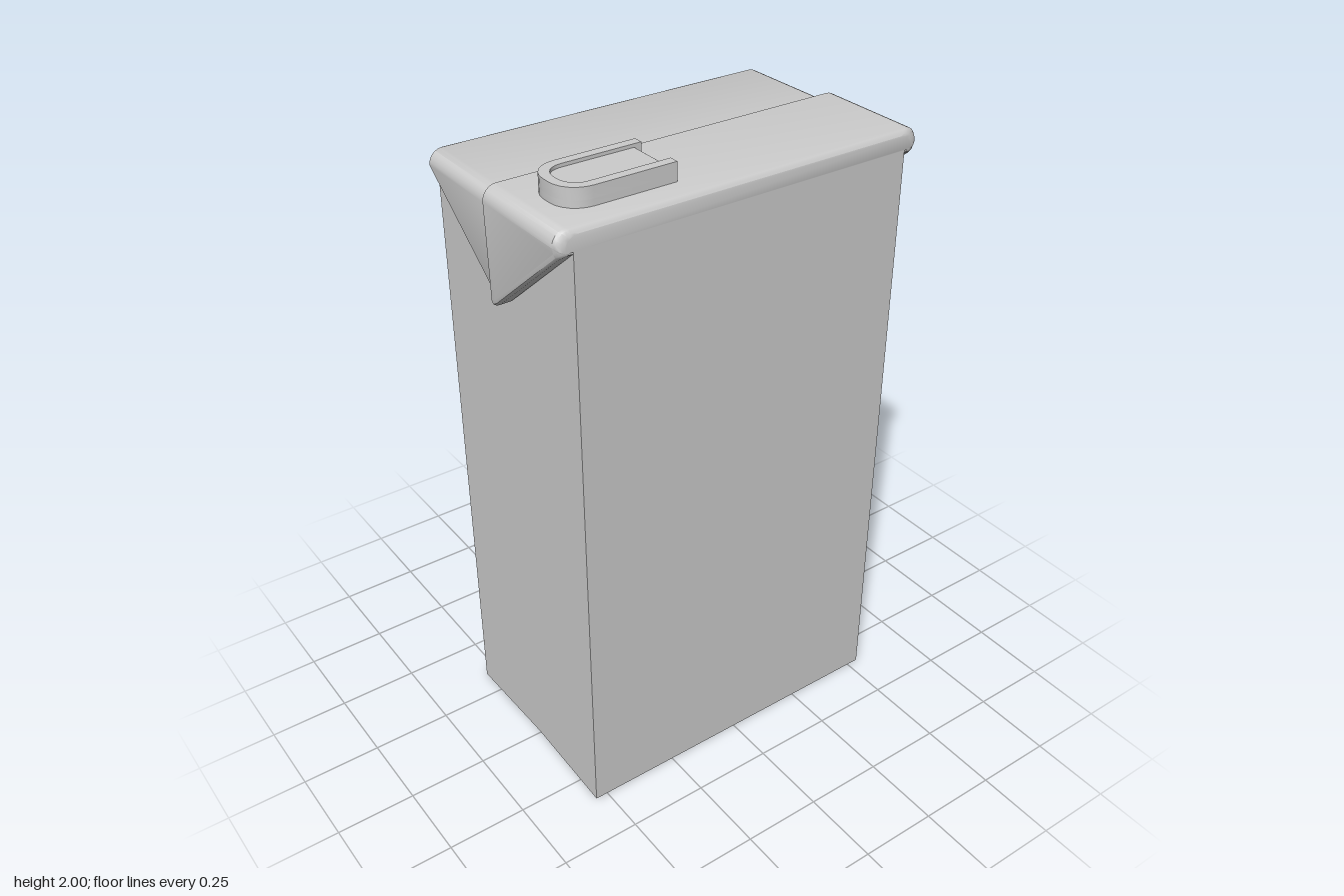
import * as THREE from 'three';
import { toCreasedNormals } from 'three/addons/utils/BufferGeometryUtils.js';

const W = 0.345, D = 0.54, SHOULDER = 1.885, TIP = 1.6;

function creased(positions, angle = 0.6) {
  const geo = new THREE.BufferGeometry();
  geo.setAttribute('position', new THREE.Float32BufferAttribute(positions, 3));
  return toCreasedNormals(geo, angle);
}

// Carton walls with a faint centre crease, and a dimpled folded bottom
function bodyGeometry() {
  const pos = [];
  const ring = [[W, D, 0], [W, -D, 0], [0, -D + 0.004, 0.008], [-W, -D, 0], [-W, D, 0], [0, D - 0.004, 0.008]]
    .map(([x, z, y]) => ({ low: [x, y, z], high: [x, SHOULDER, z] }));
  const tri = (a, b, c) => pos.push(...a, ...b, ...c);
  ring.forEach((p, i) => {
    const q = ring[(i + 1) % ring.length];
    tri(p.low, q.low, q.high);
    tri(p.low, q.high, p.high);
  });
  const front = [0, 0.02, 0.27], back = [0, 0.02, -0.27];
  const [a, b, c, d, e, f] = ring.map((p) => p.low);
  tri(a, front, b); tri(front, back, b);      // +x bottom panel
  tri(b, back, c); tri(c, back, d);           // back gusset
  tri(d, back, e); tri(back, front, e);       // -x bottom panel
  tri(e, front, f); tri(f, front, a);         // front gusset
  return creased(pos, 0.01);
}

// Closed z-y outline of the folded top at one x: lid plus a hanging flap at each end
function foldSection(x, top, reach) {
  const ax = Math.abs(x);
  const b = Math.min(SHOULDER - 0.006, Math.max(TIP, TIP - 0.005 + 0.285 * ax / W));
  const r = 0.042, half = [];
  for (let i = 0; i <= 6; i++) {
    const a = (i / 6) * Math.PI / 2;
    half.push([reach - r + r * Math.sin(a), top - r + r * Math.cos(a)]);
  }
  half.push([reach - 0.004, Math.min(top - r - 0.002, b + 0.02)]);
  half.push([reach - 0.008, Math.min(top - r - 0.004, b + 0.007)]);
  half.push([reach - 0.018, b]);
  half.push([D + 0.001, b]);
  half.push([D + 0.009, Math.min(SHOULDER - 0.002, b + 0.05)]);
  half.push([D + 0.009, SHOULDER]);
  half.push([D, SHOULDER]);
  return [...half, ...half.slice().reverse().map(([z, y]) => [-z, y])];
}

// Skin the outlines along x and close both ends
function foldGeometry(stations) {
  const pos = [];
  const rings = stations.map(([x, top, reach]) => foldSection(x, top, reach).map(([z, y]) => [x, y, z]));
  const n = rings[0].length;
  for (let i = 0; i < rings.length - 1; i++) {
    for (let j = 0; j < n; j++) {
      const k = (j + 1) % n;
      const a = rings[i][j], b = rings[i][k], c = rings[i + 1][k], d = rings[i + 1][j];
      pos.push(...a, ...b, ...c, ...a, ...c, ...d);
    }
  }
  [[rings[0], -1], [rings[rings.length - 1], 1]].forEach(([ring, dir]) => {
    const flat = ring.map(([, y, z]) => new THREE.Vector2(z, y));
    THREE.ShapeUtils.triangulateShape(flat, []).forEach(([i, j, k]) => {
      const area = THREE.ShapeUtils.area([flat[i], flat[j], flat[k]]);
      const order = area * dir < 0 ? [i, j, k] : [i, k, j];
      order.forEach((v) => pos.push(...ring[v]));
    });
  });
  return creased(pos);
}

// U-shaped outline with a square back and a round front, in x-z
function uPoints(x0, x1, z0, z1, r) {
  const pts = [[x0, z0]];
  for (let i = 0; i <= 6; i++) {
    const a = (i / 6) * Math.PI / 2;
    pts.push([x0 + r - r * Math.cos(a), z1 - r + r * Math.sin(a)]);
  }
  for (let i = 0; i <= 6; i++) {
    const a = (i / 6) * Math.PI / 2;
    pts.push([x1 - r + r * Math.sin(a), z1 - r + r * Math.cos(a)]);
  }
  pts.push([x1, z0]);
  return pts;
}

// Extrude an x-z outline upward from y0 to y1
function slab(points, y0, y1) {
  const shape = new THREE.Shape(points.map(([x, z]) => new THREE.Vector2(x, z)));
  const geo = new THREE.ExtrudeGeometry(shape, { depth: y1 - y0, bevelEnabled: false });
  geo.rotateX(Math.PI / 2);
  geo.translate(0, y1, 0);
  return toCreasedNormals(geo, 0.6);
}

export function createModel() {
  const group = new THREE.Group();
  const material = new THREE.MeshStandardMaterial({ color: 0xcccccc });
  const add = (name, geometry, parent = group) => {
    const mesh = new THREE.Mesh(geometry, material);
    mesh.name = name;
    parent.add(mesh);
  };

  add('cartonBody', bodyGeometry());

  // Lower half of the folded top
  add('rightTopFold', foldGeometry([
    [-W, 1.92, 0.562], [-0.333, 1.925, 0.57], [-0.02, 1.925, 0.572], [0, 1.925, 0.572],
  ]));

  // Overlapping half, thicker and rounded along its outer edge
  add('leftTopFold', foldGeometry([
    [0, 1.945, 0.592], [0.02, 1.945, 0.592], [0.328, 1.945, 0.59],
    [0.336, 1.942, 0.585], [0.342, 1.934, 0.575], [W, 1.93, 0.566],
  ]));

  // Pull-tab opening: base, recessed panel, raised rim and hinge bar
  const spout = new THREE.Group();
  spout.name = 'spoutCap';
  group.add(spout);
  const outer = uPoints(0.076, 0.264, 0.175, 0.505, 0.08);
  const inner = uPoints(0.105, 0.235, 0.175, 0.477, 0.055);
  add('capBase', slab(outer, 1.94, 1.965), spout);
  add('capPanel', slab(uPoints(0.105, 0.235, 0.198, 0.477, 0.055), 1.965, 1.99), spout);
  add('capRim', slab([...outer, ...inner.slice().reverse()], 1.965, 2), spout);
  const hinge = new THREE.BoxGeometry(0.13, 0.012, 0.008);
  hinge.translate(0.17, 1.971, 0.184);
  add('capHinge', hinge, spout);

  return group;
}
